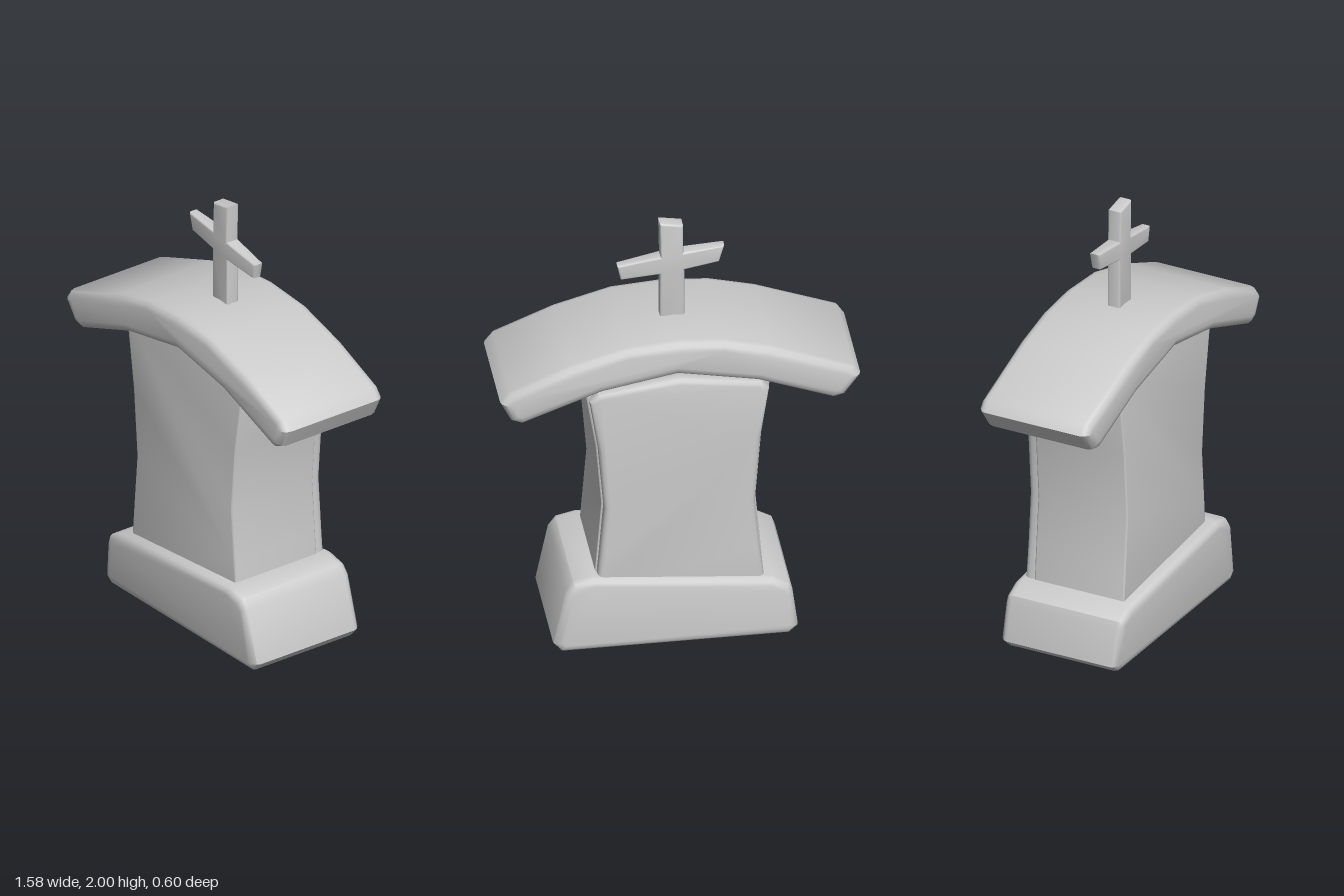
import * as THREE from 'three';
import { toCreasedNormals } from 'three/addons/utils/BufferGeometryUtils.js';

const stone = new THREE.MeshStandardMaterial({ color: 0xcccccc });

// Front outline extruded between two depths with rounded rims; warp moves vertices by a rule
function slab(name, outline, back, front, bevel, warp) {
  const shape = new THREE.Shape(outline.map(([x, y]) => new THREE.Vector2(x, y)));
  const geo = new THREE.ExtrudeGeometry(shape, {
    depth: front - back - 2 * bevel,
    bevelThickness: bevel,
    bevelSize: bevel,
    bevelOffset: -bevel,
    bevelSegments: 3,
  });
  geo.translate(0, 0, back + bevel);
  if (warp) {
    const p = geo.attributes.position;
    const v = new THREE.Vector3();
    for (let i = 0; i < p.count; i++) {
      warp(v.fromBufferAttribute(p, i));
      p.setXYZ(i, v.x, v.y, v.z);
    }
  }
  const mesh = new THREE.Mesh(toCreasedNormals(geo, 0.7), stone);
  mesh.name = name;
  return mesh;
}

export function createModel() {
  const group = new THREE.Group();
  group.name = 'gravestone';

  // Crooked plinth, taller on one side and leaning slightly forward
  group.add(slab('base', [
    [-0.51, 0.035], [-0.47, 0], [0.525, 0], [0.56, 0.04], [0.505, 0.29],
    [0.47, 0.335], [0.38, 0.355], [-0.4, 0.285], [-0.475, 0.245], [-0.488, 0.21],
  ], -0.3, 0.28, 0.035, (v) => { v.z += 0.055 * v.y; }));

  // Waisted upright stone
  group.add(slab('body', [
    [-0.375, 0.2], [0.38, 0.2], [0.36, 0.45], [0.34, 0.7], [0.365, 1.0], [0.41, 1.28],
    [0.41, 1.36], [0, 1.43], [-0.4, 1.36], [-0.4, 1.28], [-0.36, 1.0], [-0.335, 0.68], [-0.355, 0.45],
  ], -0.205, 0.237, 0.008));

  // Raised slab on the back
  group.add(slab('backPanel', [
    [-0.37, 0.25], [0.37, 0.25], [0.352, 0.45], [0.332, 0.7], [0.357, 1.0], [0.395, 1.25],
    [0.36, 1.29], [0, 1.34], [-0.36, 1.29], [-0.39, 1.25], [-0.352, 1.0], [-0.327, 0.68], [-0.347, 0.45],
  ], -0.254, -0.18, 0.025));

  // Arched cap stone
  group.add(slab('roof', [
    [-0.79, 1.28], [-0.76, 1.325], [-0.4, 1.46], [-0.2, 1.51], [0, 1.526], [0.23, 1.51],
    [0.48, 1.44], [0.745, 1.33], [0.785, 1.28], [0.74, 1.19], [0.69, 1.17],
    [0.34, 1.3], [0.01, 1.362], [-0.34, 1.295], [-0.67, 1.173], [-0.72, 1.185],
  ], -0.256, 0.29, 0.04));

  // Crooked cross whose arms thin toward the ends
  const crossZ = 0.012;
  group.add(slab('cross', [
    [-0.052, 1.48], [0.055, 1.48], [0.055, 1.738], [0.225, 1.72], [0.24, 1.79], [0.052, 1.825],
    [0.056, 2.0], [-0.046, 1.983], [-0.048, 1.84], [-0.228, 1.855], [-0.205, 1.775], [-0.052, 1.752],
  ], crossZ - 0.032, crossZ + 0.032, 0.01, (v) => {
    const t = Math.max(0, Math.abs(v.x) - 0.055) / 0.18;
    v.z = crossZ + (v.z - crossZ) * (1 - 0.3 * t);
  }));

  return group;
}
